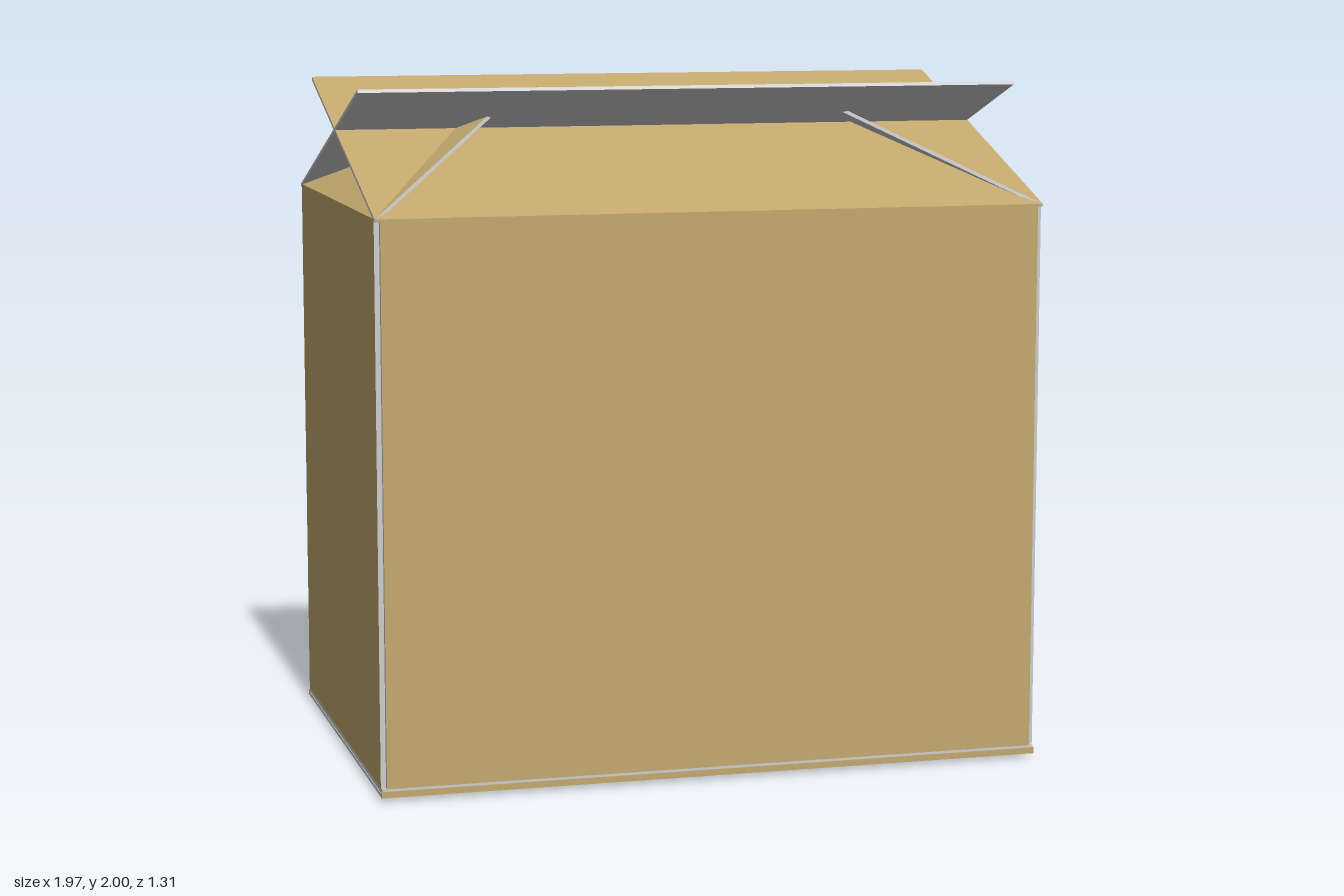
import * as THREE from 'three';

const card = new THREE.MeshStandardMaterial({ color: 0xc2a86d });
card.name = 'cardboard';
const liner = new THREE.MeshStandardMaterial({ color: 0xcccccc });
liner.name = 'pale liner';

const HALF_X = 0.985, HALF_Z = 0.655, TOP = 1.655, BASE = 0.038, RIM = 0.012;

// Convex sheet whose outer face is cardboard at z = 0; edges and back are liner.
function sheet(name, points, thickness) {
  const shape = new THREE.Shape(points.map(([x, y]) => new THREE.Vector2(x, y)));
  const geo = new THREE.ExtrudeGeometry(shape, { depth: thickness, bevelEnabled: false });
  geo.translate(0, 0, -thickness);
  const cap = (points.length - 2) * 3;
  geo.clearGroups();
  geo.addGroup(0, cap, 1);
  geo.addGroup(cap, cap, 0);
  geo.addGroup(2 * cap, geo.attributes.position.count - 2 * cap, 1);
  const mesh = new THREE.Mesh(geo, [card, liner]);
  mesh.name = name;
  return mesh;
}

// Symmetric sheet: half width a at the hinge, b at height h.
function trapezoid(name, a, b, h, thickness) {
  const points = b > 0 ? [[-a, 0], [a, 0], [b, h], [-b, h]] : [[-a, 0], [a, 0], [0, h]];
  return sheet(name, points, thickness);
}

export function createModel() {
  const model = new THREE.Group();
  model.name = 'openBox';

  const sides = [
    { name: 'front', turn: 0, long: true },
    { name: 'left', turn: Math.PI / 2, long: false },
    { name: 'back', turn: Math.PI, long: true },
    { name: 'right', turn: -Math.PI / 2, long: false },
  ];

  for (const { name, turn, long } of sides) {
    const side = new THREE.Group();
    side.name = name + 'Side';
    side.rotation.y = turn;
    const out = long ? HALF_Z : HALF_X;
    const half = long ? HALF_X : HALF_Z;

    // Wall, set in from the corners so the pale board edges show
    const wall = trapezoid(name + 'Wall', half - 0.015, half - 0.015, TOP - BASE, 0.015);
    wall.position.set(0, BASE, out);

    // Top flap: long ones cross over the middle, short ones taper and poke through
    const run = long ? 1.06 : 0.475, rise = long ? 0.345 : 0.275;
    const flap = trapezoid(name + 'TopFlap', half, long ? half : 0.085, Math.hypot(run, rise), 0.01);
    flap.position.set(0, TOP, out);
    flap.rotation.x = -Math.atan2(run, rise);

    // Bottom flap, sagging slightly to a central ridge
    const reach = long ? HALF_Z : 0.485;
    const bottom = trapezoid(name + 'BottomFlap', half, long ? 0.5 : 0, -Math.hypot(reach, RIM), 0.01);
    bottom.position.set(0, RIM, out);
    bottom.rotation.x = Math.atan2(reach, RIM);

    side.add(wall, flap, bottom);

    // Cardboard fold line under the long walls
    if (long) {
      const fold = new THREE.Mesh(new THREE.BoxGeometry(2 * HALF_X, 0.018, 0.004), card);
      fold.name = name + 'Fold';
      fold.position.set(0, RIM + 0.009, out - 0.002);
      side.add(fold);
    }
    model.add(side);
  }

  // Pale floor between the walls and the bottom flaps
  const floor = new THREE.Mesh(new THREE.BoxGeometry(2 * HALF_X - 0.004, 0.025, 2 * HALF_Z - 0.006), liner);
  floor.name = 'floor';
  floor.position.y = RIM + 0.0135;
  model.add(floor);

  return model;
}
